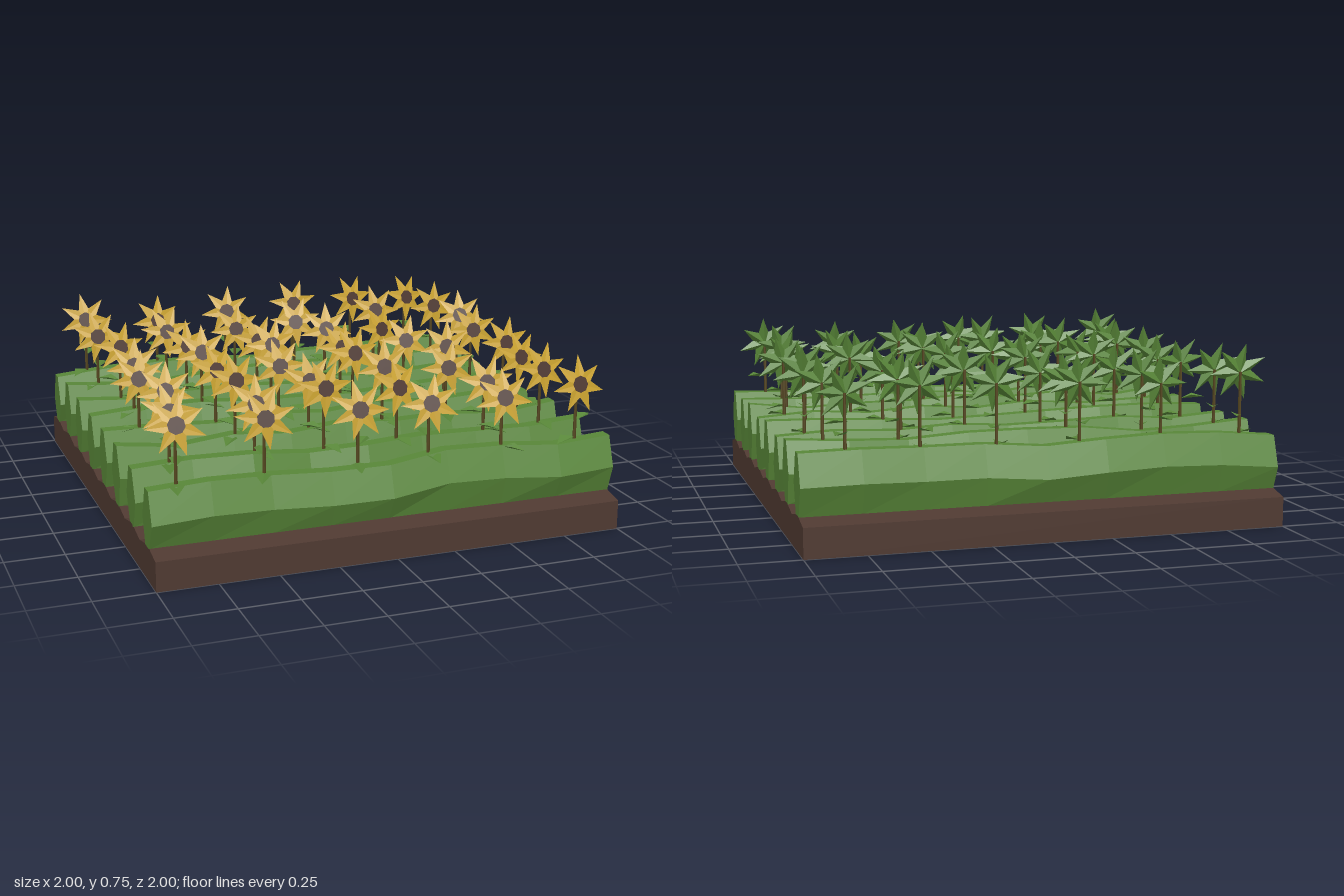
import * as THREE from 'three';

const mat = (name, color, double) => {
  const m = new THREE.MeshStandardMaterial({ color, flatShading: true });
  m.name = name;
  if (double) m.side = THREE.DoubleSide;
  return m;
};

// Non-indexed geometry from convex polygons (arrays of [x, y, z])
function polyGeometry(polys) {
  const pos = [];
  for (const p of polys)
    for (let i = 1; i < p.length - 1; i++) pos.push(...p[0], ...p[i], ...p[i + 1]);
  const g = new THREE.BufferGeometry();
  g.setAttribute('position', new THREE.Float32BufferAttribute(pos, 3));
  g.computeVertexNormals();
  return g;
}

function seeded(seed) {
  let s = seed;
  return (amp) => {
    s = (s * 16807) % 2147483647;
    return (s / 2147483647 * 2 - 1) * amp;
  };
}

const ROWS = 8, STEPS = 8;
const rowZ = (i) => -0.875 + i * 0.25;
const stationX = (k) => -1 + k * 0.25;

// Flower positions along each row, back row first
const FLOWER_X = [
  [-0.85, -0.50, -0.15, 0.20, 0.51, 0.81],
  [-0.85, -0.52, -0.18, 0.12, 0.54, 0.85],
  [-0.80, -0.49, -0.15, 0.19, 0.47, 0.88],
  [-0.80, -0.49, -0.16, 0.17, 0.49, 0.83],
  [-0.84, -0.50, -0.21, 0.14, 0.58, 0.88],
  [-0.79, -0.49, -0.16, 0.18, 0.48, 0.83],
  [-0.84, -0.48, -0.18, 0.14, 0.54, 0.81],
  [-0.88, -0.52, -0.13, 0.18, 0.50, 0.85],
];

// Ridged soil, open below, with slits under the rows and two gaps
function soilGeometry() {
  const polys = [], F = 0.124, R = 0.146;
  const strip = (z1, y1, z2, y2, gap) => {
    for (let k = 0; k < STEPS; k++) {
      if (k === gap) continue;
      const a = stationX(k), b = stationX(k + 1);
      polys.push([[a, y2, z2], [b, y2, z2], [b, y1, z1], [a, y1, z1]]);
    }
  };
  const edge = [];
  for (let i = 0; i < ROWS; i++) {
    const c = rowZ(i);
    strip(c - 0.125, F, c - 0.02, R, i === 7 ? 6 : -1);
    strip(c + 0.02, R, c + 0.125, F, i === 1 ? 2 : -1);
    edge.push([c - 0.125, F], [c - 0.02, R], [c + 0.02, R]);
  }
  edge.push([1, F]);
  // Side walls follow the ridges
  for (let j = 0; j < edge.length - 1; j++) {
    const [z1, y1] = edge[j], [z2, y2] = edge[j + 1];
    polys.push([[1, 0, z2], [1, 0, z1], [1, y1, z1], [1, y2, z2]]);
    polys.push([[-1, 0, z1], [-1, 0, z2], [-1, y2, z2], [-1, y1, z1]]);
  }
  polys.push([[-1, 0, 1], [1, 0, 1], [1, F, 1], [-1, F, 1]]);
  polys.push([[1, 0, -1], [-1, 0, -1], [-1, F, -1], [1, F, -1]]);
  return polyGeometry(polys);
}

// One hedge row: a six-sided section swept along x with slight wobble
function hedgeGeometry(c, rnd) {
  const section = [[0.03, 0.14], [0.073, 0.255], [0.028, 0.383], [-0.028, 0.383], [-0.073, 0.255], [-0.03, 0.14]];
  const loops = [];
  for (let k = 0; k <= STEPS; k++) {
    const dy = rnd(0.018), dz = rnd(0.012);
    loops.push(section.map(([z, y], j) => {
      const base = j === 0 || j === 5;
      return [stationX(k), base ? y : y + dy, c + z + (base ? 0 : dz)];
    }));
  }
  const polys = [];
  for (let k = 0; k < STEPS; k++)
    for (let j = 0; j < 6; j++) {
      const n = (j + 1) % 6;
      polys.push([loops[k][j], loops[k + 1][j], loops[k + 1][n], loops[k][n]]);
    }
  polys.push(loops[0], [...loops[STEPS]].reverse());
  return polyGeometry(polys);
}

// Star fan facing +z (front) or -z (back)
function starGeometry(points, depth, back) {
  const rim = [];
  for (let i = 0; i < points * 2; i++) {
    const a = Math.PI / 2 + i * Math.PI / points;
    const tip = i % 2 === 0, r = tip ? 0.125 : 0.055;
    rim.push([Math.cos(a) * r, Math.sin(a) * r, tip ? -0.012 : 0]);
  }
  const polys = rim.map((p, i) => {
    const q = rim[(i + 1) % rim.length];
    return back ? [[0, 0, depth], q, p] : [[0, 0, depth], p, q];
  });
  return polyGeometry(polys);
}

export function createModel() {
  const model = new THREE.Group();
  model.name = 'flowerField';
  const soil = mat('soil brown', 0x4f3931, true);
  const green = mat('leaf green', 0x588638);
  const leafGreen = mat('thin leaf green', 0x588638, true);
  const yellow = mat('petal yellow', 0xcca430);
  const seed = mat('seed brown', 0x4f3931);
  const stemMat = mat('stem olive brown', 0x54451f);
  const rnd = seeded(4711);

  const add = (parent, name, geo, material) => {
    const m = new THREE.Mesh(geo, material);
    m.name = name;
    parent.add(m);
    return m;
  };

  add(model, 'soilBed', soilGeometry(), soil);

  const petals = starGeometry(7, 0.004, false);
  const sepals = starGeometry(7, -0.026, true);
  const disc = new THREE.CircleGeometry(0.036, 8);
  const stemGeo = new THREE.CylinderGeometry(0.006, 0.008, 1, 5);
  // Folded diamond leaf growing along -z
  const leafGeo = polyGeometry([
    [[0, 0, 0], [0.032, 0.016, -0.05], [0, 0, -0.105]],
    [[0, 0, 0], [0, 0, -0.105], [-0.032, 0.016, -0.05]],
  ]);

  for (let i = 0; i < ROWS; i++) {
    const c = rowZ(i);
    add(model, 'hedgeRow', hedgeGeometry(c, rnd), green);

    for (const x of FLOWER_X[i]) {
      const flower = new THREE.Group();
      flower.name = 'flower';
      flower.position.set(x, 0, c + rnd(0.008));
      model.add(flower);

      const headY = 0.615 + rnd(0.025);
      const stem = add(flower, 'stem', stemGeo, stemMat);
      stem.scale.y = headY - 0.33;
      stem.position.y = (headY + 0.33) / 2;

      // Head faces forward and slightly up
      const head = new THREE.Group();
      head.name = 'flowerHead';
      head.position.set(0, headY, 0.026);
      head.rotation.set(-0.26 + rnd(0.06), rnd(0.25), rnd(0.45), 'YXZ');
      flower.add(head);
      add(head, 'petals', petals, yellow);
      add(head, 'sepals', sepals, green);
      add(head, 'seedDisc', disc, seed).position.z = 0.007;

      // An upper and a lower leaf on roughly opposite sides
      const turn = rnd(1.3);
      [[0.455, turn, 0.1], [0.385, turn + Math.PI + rnd(0.6), -0.12]].forEach(([y, yaw, lift]) => {
        const leaf = add(flower, 'leaf', leafGeo, leafGreen);
        leaf.position.y = y;
        leaf.rotation.set(lift, yaw, 0, 'YXZ');
      });
    }
  }
  return model;
}
